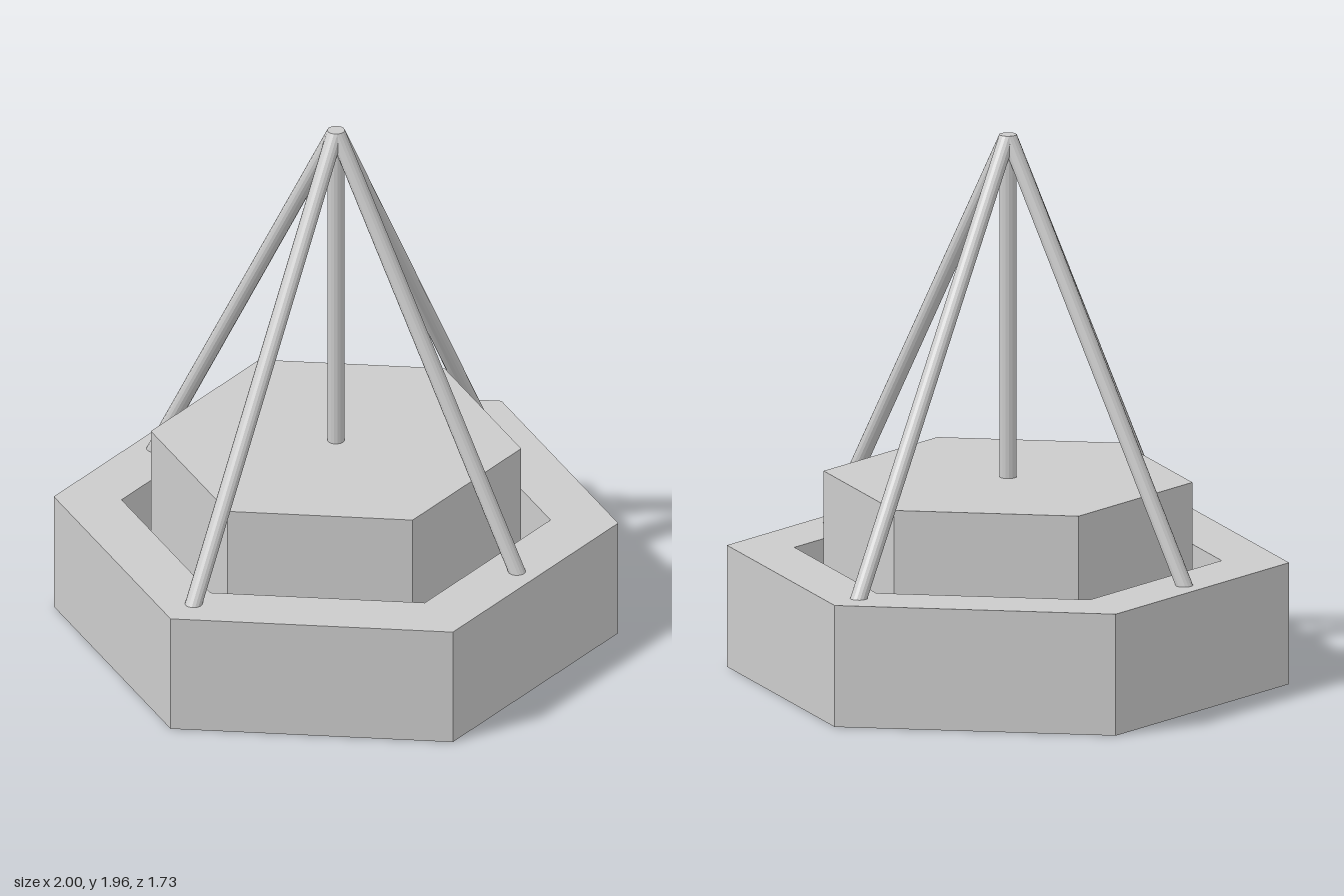
import * as THREE from 'three';

const RING_TOP = 0.44, SLAB_BOTTOM = 0.28, SLAB_TOP = 0.72, APEX = 1.96;
const ROD_RADIUS = 0.031;

const material = new THREE.MeshStandardMaterial({ color: 0xcccccc, flatShading: true });

// Corners of a regular hexagon with points on the x axis
function hexagon(radius) {
  return Array.from({ length: 6 }, (_, i) => {
    const a = (i * Math.PI) / 3;
    return new THREE.Vector2(radius * Math.cos(a), radius * Math.sin(a));
  });
}

// Upright hexagonal prism, optionally hollow
function hexPrism(name, radius, bottom, top, holeRadius = 0) {
  const shape = new THREE.Shape(hexagon(radius));
  if (holeRadius) shape.holes.push(new THREE.Path(hexagon(holeRadius)));
  const geometry = new THREE.ExtrudeGeometry(shape, { depth: top - bottom, bevelEnabled: false });
  geometry.rotateX(-Math.PI / 2).translate(0, bottom, 0);
  const mesh = new THREE.Mesh(geometry, material);
  mesh.name = name;
  return mesh;
}

// Round rod from a foot to the apex, sheared so that both ends stay level
function rod(name, footX, footY, footZ) {
  const height = APEX - footY;
  const geometry = new THREE.CylinderGeometry(ROD_RADIUS, ROD_RADIUS, height, 16);
  geometry.translate(0, height / 2 + footY, 0);
  const p = geometry.attributes.position;
  for (let i = 0; i < p.count; i++) {
    const t = (APEX - p.getY(i)) / height;
    p.setX(i, p.getX(i) + footX * t);
    p.setZ(i, p.getZ(i) + footZ * t);
  }
  geometry.computeVertexNormals();
  const mesh = new THREE.Mesh(geometry, material);
  mesh.name = name;
  return mesh;
}

export function createModel() {
  const model = new THREE.Group();
  model.name = 'hexagonalTent';

  // Hollow outer ring and the raised slab floating inside it
  model.add(hexPrism('outerRing', 1, 0, RING_TOP, 0.76));
  model.add(hexPrism('innerSlab', 0.656, SLAB_BOTTOM, SLAB_TOP));

  // Central pole on the slab, four slanted rods on the ring
  model.add(rod('centrePole', 0, SLAB_TOP, 0));
  model.add(rod('leftRod', 0.86, RING_TOP, 0));
  model.add(rod('rightRod', -0.86, RING_TOP, 0));
  model.add(rod('frontRod', 0, RING_TOP, 0.785));
  model.add(rod('backRod', 0, RING_TOP, -0.785));

  return model;
}
